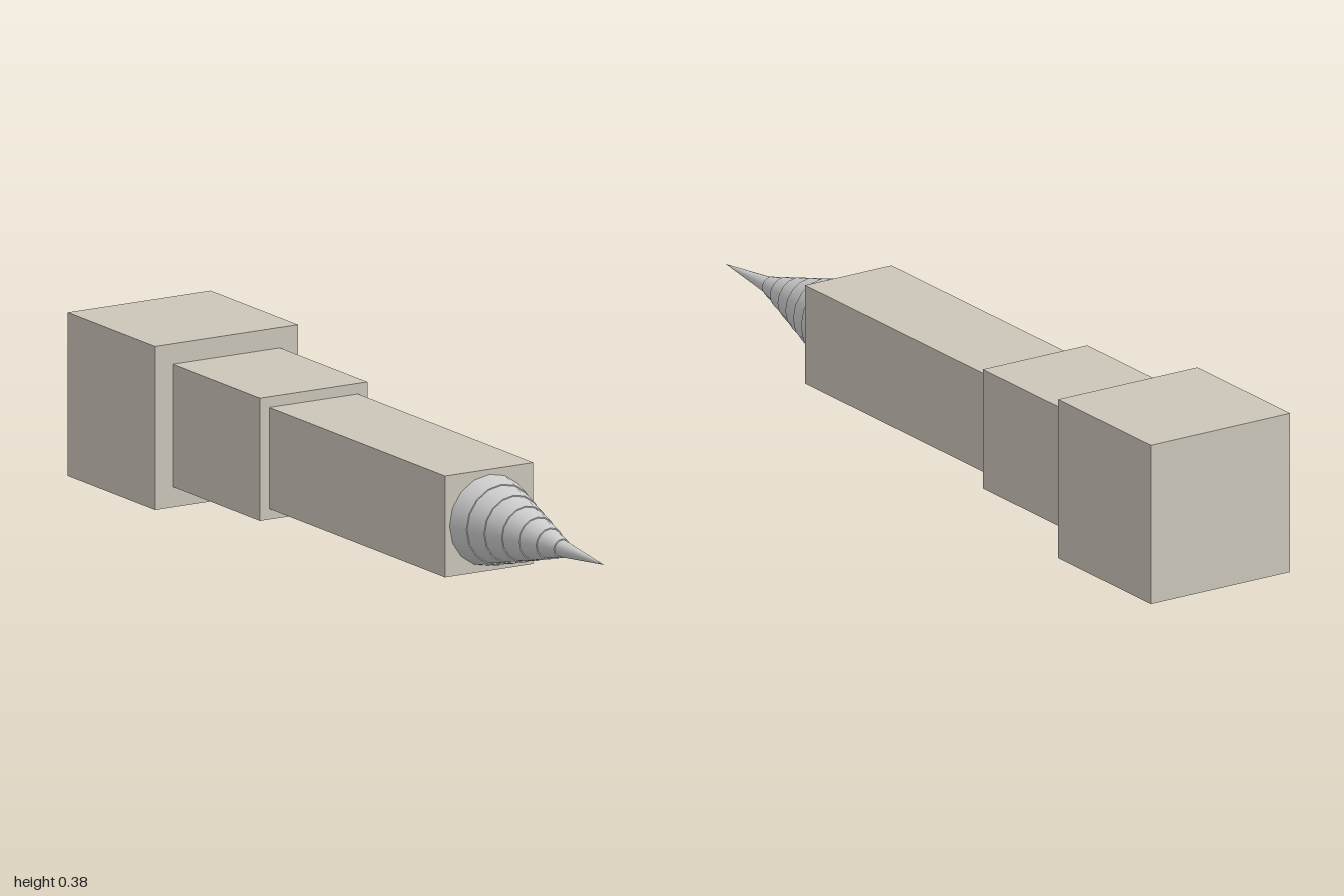
import * as THREE from 'three';

const AXIS_Y = 0.192;

export function createModel() {
  const model = new THREE.Group();
  const bodyMaterial = new THREE.MeshStandardMaterial({ color: 0xcbc5b9 });
  const metalMaterial = new THREE.MeshStandardMaterial({ color: 0xcccccc });

  function add(name, geometry, material, z0, z1, parent = model) {
    const mesh = new THREE.Mesh(geometry, material);
    mesh.name = name;
    mesh.position.set(0, AXIS_Y, (z0 + z1) / 2);
    parent.add(mesh);
  }

  // Square body sections, narrowing towards the front
  const sections = [
    ['rearBlock', 0.384, -1, -0.625],
    ['middleBlock', 0.288, -0.625, -0.25],
    ['frontBlock', 0.238, -0.25, 0.505],
  ];
  for (const [name, size, z0, z1] of sections) {
    add(name, new THREE.BoxGeometry(size, size, z1 - z0), bodyMaterial, z0, z1);
  }

  // Stepped tip: tapered rings, each set in slightly from the one behind
  const tip = new THREE.Group();
  tip.name = 'steppedTip';
  model.add(tip);
  const rings = 6, start = 0.505, end = 0.82, lip = 0.0025;
  const baseRadius = 0.107, pitch = 0.0145;
  const length = (end - start) / rings;
  const frustum = (front, back, depth) =>
    new THREE.CylinderGeometry(front, back, depth, 16).rotateX(Math.PI / 2);

  for (let i = 0; i < rings; i++) {
    const back = baseRadius - i * pitch;
    const z = start + i * length;
    add('tipRing', frustum(back - pitch + lip, back, length), metalMaterial, z, z + length, tip);
  }

  // Needle point
  add('needlePoint', frustum(0, baseRadius - rings * pitch, 1 - end), metalMaterial, end, 1, tip);

  return model;
}
